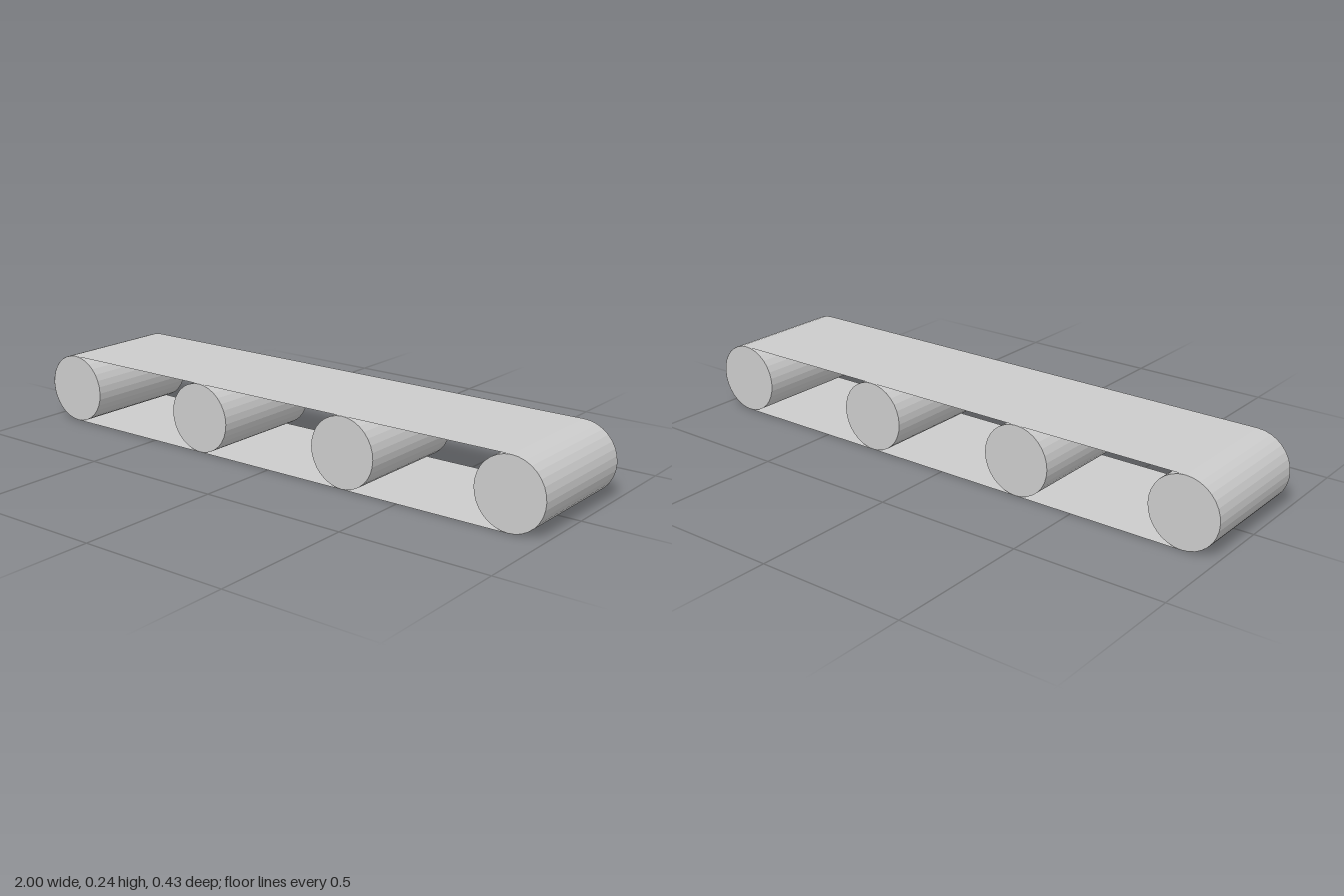
import * as THREE from 'three';

const RADIUS = 0.118;    // belt bend radius
const WIDTH = 0.43;      // along z
const SPACING = 0.588;   // between roller axes
const SIDES = 32;
const END_X = SPACING * 1.5;

// Closed belt outline, counter-clockwise around the two end rollers
function beltOutline() {
  const points = [];
  for (const side of [1, -1]) {
    for (let i = 0; i <= SIDES / 2; i++) {
      const a = side * -Math.PI / 2 + (i / SIDES) * Math.PI * 2;
      points.push(new THREE.Vector2(side * END_X + RADIUS * Math.cos(a), RADIUS + RADIUS * Math.sin(a)));
    }
  }
  points.push(points[0].clone());
  return points;
}

// Thin sheet wrapped along the outline
function beltGeometry() {
  const outline = beltOutline();
  const count = outline.length;
  const geometry = new THREE.PlaneGeometry(1, WIDTH, count - 1, 1);
  const pos = geometry.attributes.position;
  for (let i = 0; i < pos.count; i++) {
    const p = outline[i % count];
    pos.setXYZ(i, p.x, p.y, pos.getY(i));
  }
  geometry.computeVertexNormals();
  return geometry;
}

export function createModel() {
  const model = new THREE.Group();
  model.name = 'conveyor';
  const material = new THREE.MeshStandardMaterial({ color: 0xcccccc, flatShading: true });
  const beltMaterial = material.clone();
  beltMaterial.side = THREE.DoubleSide;

  // Belt
  const belt = new THREE.Mesh(beltGeometry(), beltMaterial);
  belt.name = 'belt';
  model.add(belt);

  // Four evenly spaced rollers, just inside the belt
  const rollerGeometry = new THREE.CylinderGeometry(RADIUS - 0.0005, RADIUS - 0.0005, WIDTH, SIDES);
  rollerGeometry.rotateX(Math.PI / 2);
  for (let i = 0; i < 4; i++) {
    const roller = new THREE.Mesh(rollerGeometry, material);
    roller.name = `roller${i + 1}`;
    roller.position.set(-END_X + i * SPACING, RADIUS, 0);
    model.add(roller);
  }
  return model;
}
